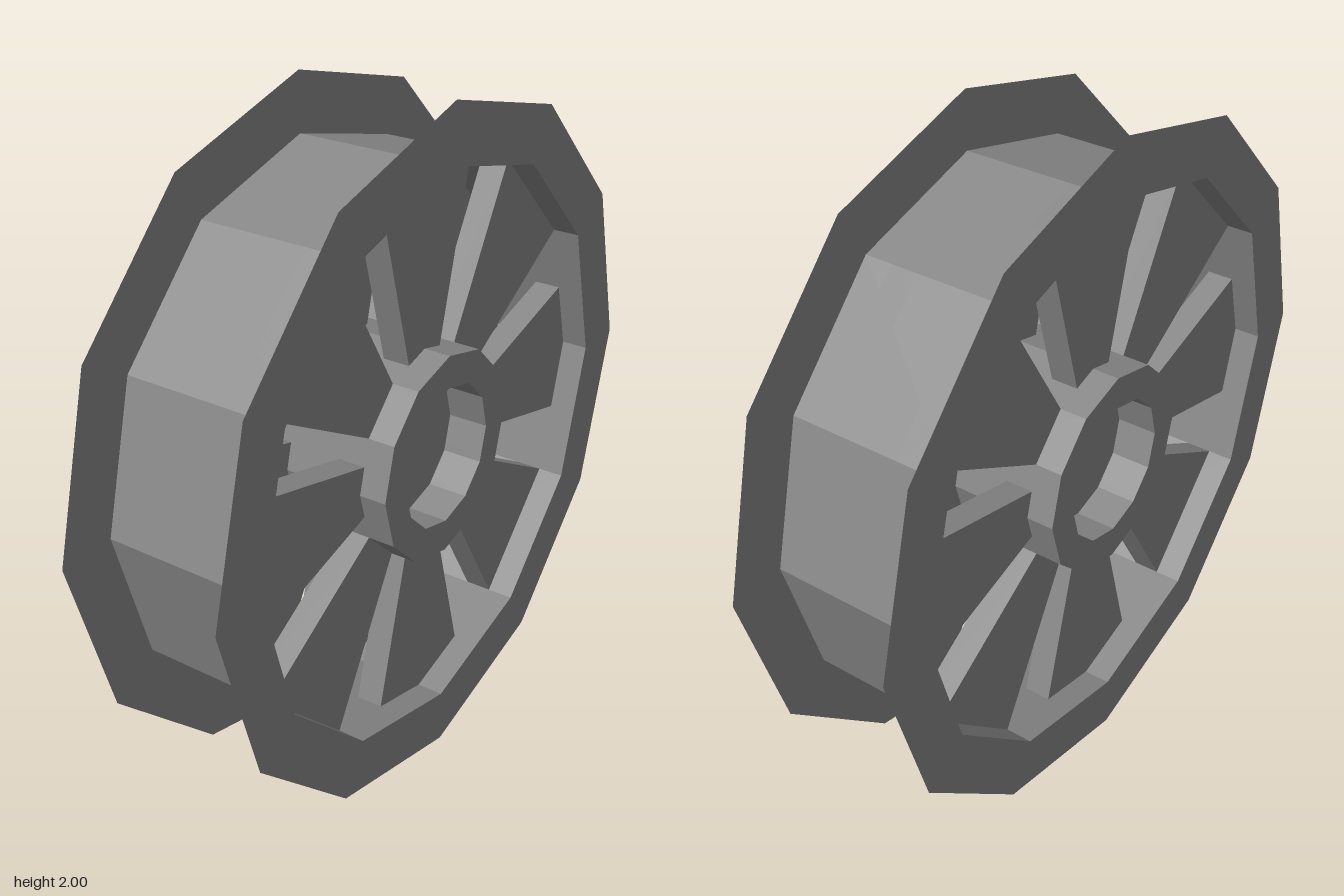
import * as THREE from 'three';

const HALF = 0.24;      // half width of the wheel
const RIM = 0.83;       // drum radius
const HUB = 0.307;      // hub outer radius
const BORE = 0.21;      // hub bore radius

// Point on a regular 12-gon (corner on the vertical) at a multiple of 15 degrees
function polar(radius, deg) {
  const r = deg % 30 === 0 ? radius : radius * Math.cos(Math.PI / 12);
  const a = THREE.MathUtils.degToRad(deg);
  return new THREE.Vector2(r * Math.sin(a), r * Math.cos(a));
}

const ring = (radius) => Array.from({ length: 12 }, (_, i) => polar(radius, i * 30));

function annulus(outer, inner) {
  const shape = new THREE.Shape(ring(outer));
  shape.holes.push(new THREE.Path(ring(inner)));
  return shape;
}

export function createModel() {
  const grey = new THREE.MeshStandardMaterial({
    color: 0x888888, flatShading: true, side: THREE.DoubleSide,
  });
  grey.name = 'grey';

  const wheel = new THREE.Group();
  wheel.name = 'wheel';
  const add = (name, geometry) => {
    const mesh = new THREE.Mesh(geometry, grey);
    mesh.name = name;
    wheel.add(mesh);
  };
  const extrude = (shape, depth, z) =>
    new THREE.ExtrudeGeometry(shape, { depth, bevelEnabled: false }).translate(0, 0, z);

  // Thin drum between the flanges
  add('drum', new THREE.CylinderGeometry(RIM, RIM, HALF * 2, 12, 1, true).rotateX(Math.PI / 2));

  // Hub tube
  add('hub', extrude(annulus(HUB, BORE), HALF * 2, -HALF));

  for (const side of [1, -1]) {
    const label = side > 0 ? 'left' : 'right';
    const turn = side > 0 ? 0 : Math.PI;

    // Flat flange at each end of the drum
    add(label + 'Flange',
      new THREE.ShapeGeometry(annulus(1, RIM)).translate(0, 0, HALF).rotateY(turn));

    // Recessed plate closing the bore
    add(label + 'BorePlate',
      new THREE.ShapeGeometry(new THREE.Shape(ring(BORE))).translate(0, 0, 0.12).rotateY(turn));

    // Eight wedge spokes, set in from the flange
    for (let k = 0; k < 8; k++) {
      const angles = [-15, 0, 15].map((d) => k * 45 + d);
      const outline = [
        ...angles.map((a) => polar(RIM, a)),
        ...angles.reverse().map((a) => polar(HUB, a)),
      ];
      add(label + 'Spoke' + (k + 1),
        extrude(new THREE.Shape(outline), 0.08, 0.08).rotateY(turn));
    }
  }

  // Axle along x, standing on the ground
  wheel.rotation.y = Math.PI / 2;
  wheel.position.y = 1;
  const model = new THREE.Group();
  model.name = 'spokedWheel';
  model.add(wheel);
  return model;
}
